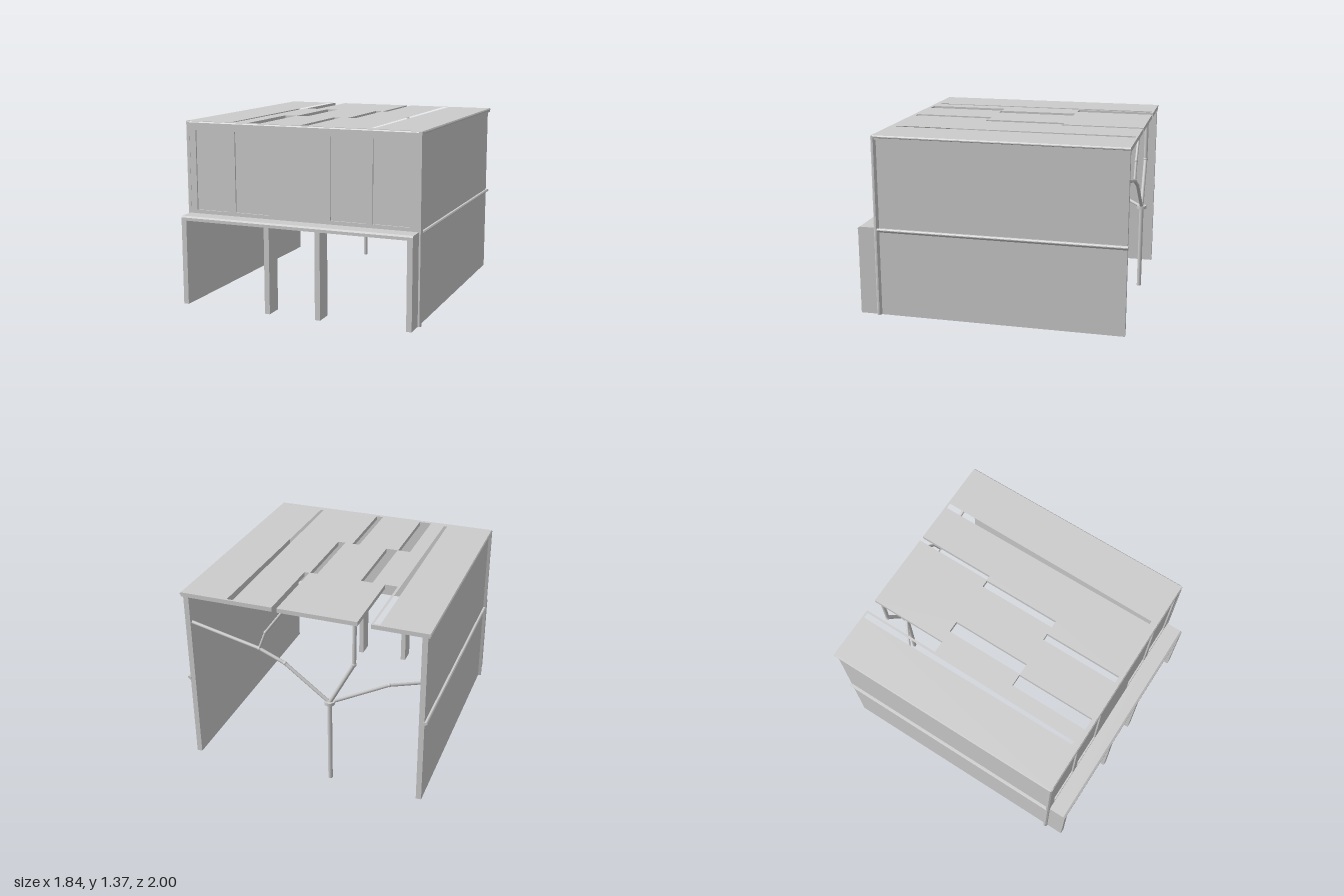
import * as THREE from 'three';

const grey = new THREE.MeshStandardMaterial({ color: 0xcccccc, flatShading: true });
const smooth = new THREE.MeshStandardMaterial({ color: 0xcccccc });

export function createModel() {
  const model = new THREE.Group();

  const add = (name, geometry, material = grey) => {
    const mesh = new THREE.Mesh(geometry, material);
    mesh.name = name;
    model.add(mesh);
    return mesh;
  };
  // Box from its min and max corners
  const box = (name, [x0, y0, z0], [x1, y1, z1]) =>
    add(name, new THREE.BoxGeometry(x1 - x0, y1 - y0, z1 - z0)
      .translate((x0 + x1) / 2, (y0 + y1) / 2, (z0 + z1) / 2));
  const polygon = (points) => new THREE.Shape(points.map(([a, b]) => new THREE.Vector2(a, b)));
  const rect = (a0, a1, b0, b1) => polygon([[a0, b0], [a1, b0], [a1, b1], [a0, b1]]);
  const extrude = (shape, depth) =>
    new THREE.ExtrudeGeometry(shape, { depth, bevelEnabled: false });

  // Side walls, porch end posts and outer trims, mirrored
  for (const s of [1, -1]) {
    const side = s > 0 ? 'left' : 'right';
    const span = s > 0 ? [0.86, 0.9] : [-0.9, -0.86];
    box(side + 'Wall', [span[0], 0, -0.99], [span[1], 1.335, 0.86]);
    box(side + 'PorchPost', [span[0], 0, 0.86], [span[1], 0.645, 0.998]);

    // Horizontal trims with a sloped underside
    for (const y of [0.64, 1.333]) {
      const profile = polygon([[0.89, 0], [0.9, 0], [0.922, 0.018], [0.922, 0.024], [0.915, 0.032], [0.89, 0.032]]
        .map(([x, h]) => [s * x, y + h]));
      add(side + 'HorizontalTrim', extrude(profile, 1.85).translate(0, 0, -0.995));
    }
    // Vertical corner trim
    const corner = polygon([[0.89, 0.832], [0.9, 0.832], [0.922, 0.845], [0.922, 0.857], [0.913, 0.867], [0.89, 0.867]]
      .map(([x, z]) => [s * x, -z]));
    add(side + 'CornerTrim', extrude(corner, 1.36).rotateX(-Math.PI / 2));
  }

  // Roof slab: two slots open to the back edge, the rest are holes
  const roof = polygon([
    [-0.915, 0.995], [-0.505, 0.995], [-0.505, 0.39], [-0.41, 0.39], [-0.41, 0.995],
    [0.177, 0.995], [0.177, 0.39], [0.215, 0.39], [0.215, 0.995],
    [0.915, 0.995], [0.915, -0.86], [-0.915, -0.86],
  ]);
  for (const [x0, x1, z0, z1] of [
    [-0.315, -0.225, -0.39, 0.22],
    [-0.415, -0.32, 0.22, 0.83],
    [0.115, 0.173, -0.385, 0.22],
    [0.0, 0.055, 0.22, 0.83],
  ]) roof.holes.push(rect(x0, x1, -z1, -z0));
  // Long side slots narrow towards the front
  for (const c of [-0.543, 0.538]) {
    roof.holes.push(polygon([[c - 0.022, 0.98], [c + 0.022, 0.98], [c + 0.013, -0.81], [c - 0.013, -0.81]]));
  }
  add('roof', extrude(roof, 0.032).rotateX(-Math.PI / 2).translate(0, 1.333, 0));

  // Upper front wall with four shallow recessed panels
  const front = rect(-0.91, 0.91, 0.66, 1.345);
  for (const x of [-0.84, -0.515, 0.24, 0.56]) front.holes.push(rect(x, x + 0.27, 0.7, 1.3));
  add('frontWall', extrude(front, 0.012).translate(0, 0, 0.853));
  box('frontPanels', [-0.9, 0.641, 0.842], [0.9, 1.335, 0.853]);
  const cornice = polygon([[-0.84, 1.335], [-0.867, 1.335], [-0.867, 1.354], [-0.857, 1.365], [-0.84, 1.365]]);
  add('cornice', extrude(cornice, 1.826).rotateY(Math.PI / 2).translate(-0.913, 0, 0));

  // Porch ledge and inner posts
  const ledge = polygon([[-0.845, 0.64], [-1, 0.64], [-1, 0.662], [-0.985, 0.673], [-0.845, 0.673]]);
  add('porchLedge', extrude(ledge, 1.8).rotateY(Math.PI / 2).translate(-0.9, 0, 0));
  for (const x of [-0.2, 0.197]) box('porchPost', [x - 0.02, 0, 0.865], [x + 0.02, 0.645, 0.998]);

  // Branching column at the open back
  const rod = (name, points, radius) => {
    const v = points.map((p) => new THREE.Vector3(...p));
    for (let i = 0; i < v.length - 1; i++) {
      const dir = v[i + 1].clone().sub(v[i]);
      const mesh = add(name, new THREE.CylinderGeometry(radius, radius, dir.length(), 12), smooth);
      mesh.position.copy(v[i]).addScaledVector(dir, 0.5);
      mesh.quaternion.setFromUnitVectors(new THREE.Vector3(0, 1, 0), dir.normalize());
      if (i > 0) add(name + 'Joint', new THREE.SphereGeometry(radius * 1.25, 12, 8), smooth).position.copy(v[i]);
    }
  };
  const z = -0.96;
  const fork = [-0.192, 0.66, z];
  rod('column', [[-0.192, 0, z], fork], 0.017);
  add('columnCollar', new THREE.CylinderGeometry(0.038, 0.038, 0.024, 16), smooth).position.set(...fork);
  rod('roofBranch', [fork, [-0.375, 1.01, z], [-0.38, 1.34, z]], 0.015);
  rod('longBranch', [fork, [0.145, 0.918, z], [0.34, 1.0, z], [0.865, 1.12, z]], 0.013);
  rod('upperBranch', [[0.34, 1.0, z], [0.286, 1.14, z], [0.14, 1.34, z]], 0.01);
  rod('wallBranch', [fork, [-0.54, 0.7, -0.66], [-0.865, 0.655, -0.41]], 0.012);

  return model;
}
